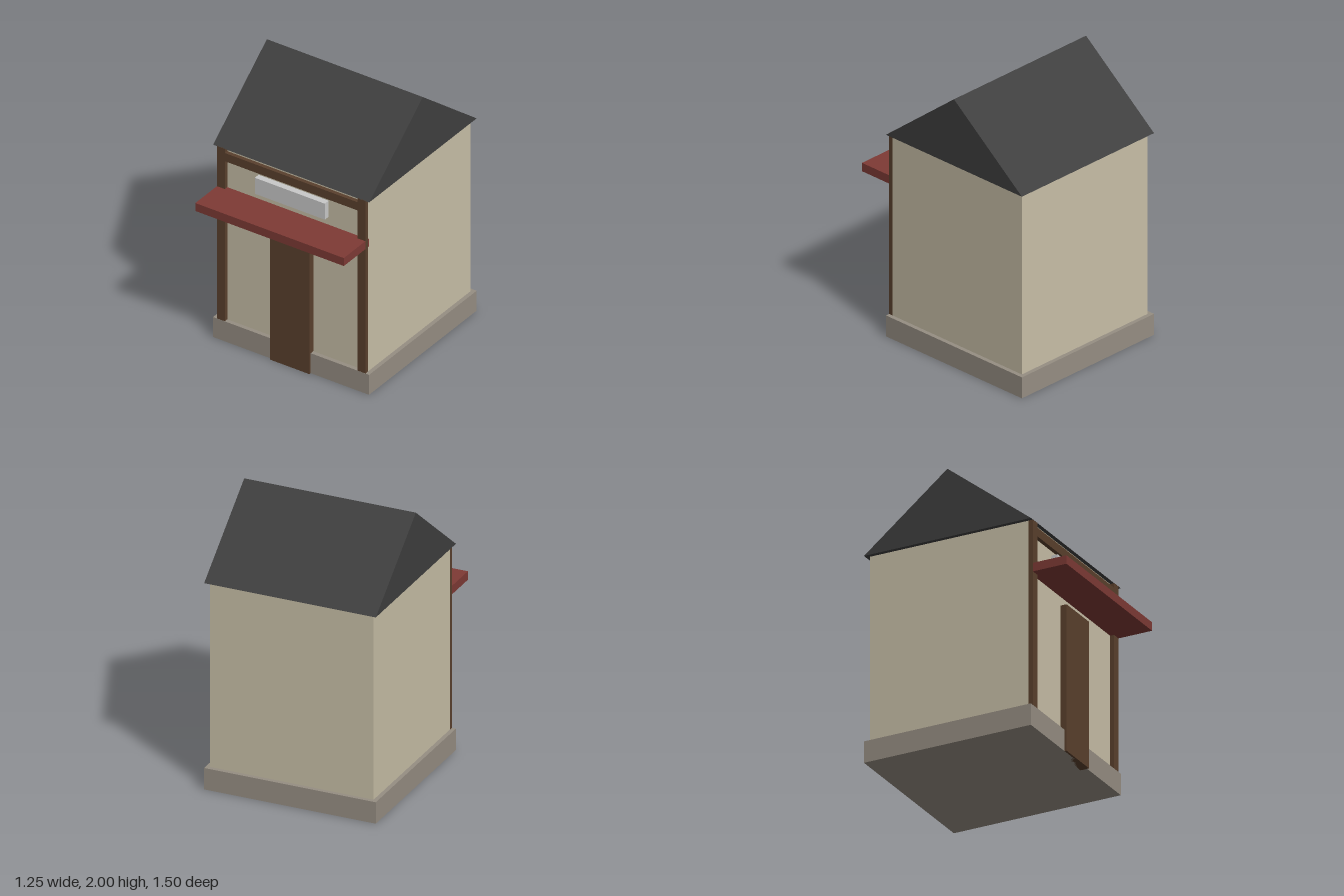
import * as THREE from 'three';

const paint = (name, color) => {
  const m = new THREE.MeshStandardMaterial({ color });
  m.name = name;
  return m;
};

export function createModel() {
  const model = new THREE.Group();
  model.name = 'smallShop';

  const stone = paint('stone grey', 0x968e83);
  const plaster = paint('plaster beige', 0xc8bfa7);
  const timber = paint('timber brown', 0x5a402d);
  const slate = paint('slate grey', 0x3f3f3f);
  const red = paint('awning red', 0x7e3a35);
  const pale = paint('sign grey', 0xc9c9c9);

  // Box given by its extents along each axis
  const box = (name, material, [x0, x1], [y0, y1], [z0, z1]) => {
    const mesh = new THREE.Mesh(new THREE.BoxGeometry(x1 - x0, y1 - y0, z1 - z0), material);
    mesh.position.set((x0 + x1) / 2, (y0 + y1) / 2, (z0 + z1) / 2);
    mesh.name = name;
    model.add(mesh);
  };

  // Plinth and walls
  box('plinth', stone, [-0.624, 0.624], [0, 0.156], [-0.75, 0.5]);
  box('walls', plaster, [-0.594, 0.594], [0.1, 1.506], [-0.72, 0.47]);

  // Timber frame on the front
  box('leftPost', timber, [0.531, 0.595], [0.15, 1.506], [0.468, 0.499]);
  box('rightPost', timber, [-0.595, -0.531], [0.15, 1.506], [0.468, 0.499]);
  box('lintel', timber, [-0.531, 0.531], [1.408, 1.472], [0.46, 0.499]);

  // Door, awning and blank sign board
  box('door', timber, [-0.157, 0.157], [0, 1.065], [0.45, 0.515]);
  box('awning', red, [-0.594, 0.594], [1.128, 1.19], [0.46, 0.75]);
  box('signBoard', pale, [-0.28, 0.28], [1.253, 1.378], [0.46, 0.515]);

  // Gable roof: triangle in the z-y plane, extruded along x
  const gable = new THREE.Shape([
    new THREE.Vector2(-0.5, 1.504),
    new THREE.Vector2(0.75, 1.504),
    new THREE.Vector2(0.125, 2),
  ]);
  const roofGeometry = new THREE.ExtrudeGeometry(gable, { depth: 1.248, bevelEnabled: false });
  roofGeometry.translate(0, 0, -0.624).rotateY(Math.PI / 2);
  const roof = new THREE.Mesh(roofGeometry, slate);
  roof.name = 'roof';
  model.add(roof);

  return model;
}
